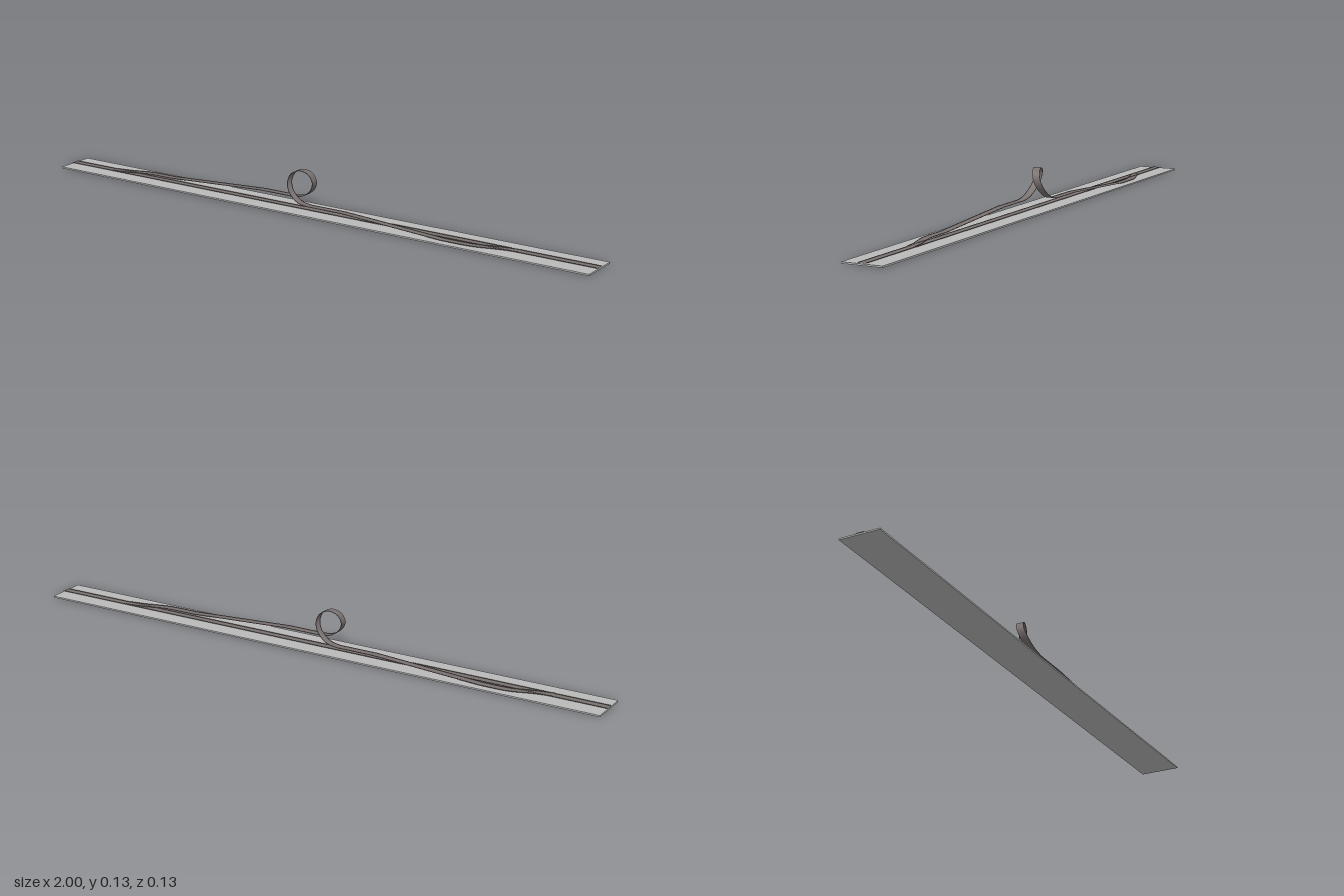
import * as THREE from 'three';

const WIDTH = 0.026, LIP = 0.0018;
const plateGrey = new THREE.MeshStandardMaterial({ color: 0xbababa });
const trackGrey = new THREE.MeshStandardMaterial({ color: 0x7a7271, side: THREE.DoubleSide });

// Shallow channel cross-section: [offset along z, height above the floor]
const PROFILE = [[WIDTH / 2, LIP], [WIDTH / 2, 0], [-WIDTH / 2, 0], [-WIDTH / 2, LIP]];

// Track strip with low side lips, swept along points that start heading toward +x
function track(name, points) {
  const pos = [], index = [];
  const rings = points.map((p, i) => {
    const a = points[Math.max(i - 1, 0)], b = points[Math.min(i + 1, points.length - 1)];
    const up = new THREE.Vector3(a.y - b.y, b.x - a.x, 0).normalize();
    return PROFILE.map(([w, h]) => [p.x + up.x * h, p.y + up.y * h, p.z + w]);
  });
  // Each side of the channel has its own vertices, so its corners stay sharp
  for (let k = 0; k < PROFILE.length - 1; k++) {
    rings.forEach((ring, i) => {
      if (i > 0) {
        const v = pos.length / 3 - 2;
        index.push(v, v + 2, v + 1, v + 1, v + 2, v + 3);
      }
      pos.push(...ring[k], ...ring[k + 1]);
    });
  }
  const geo = new THREE.BufferGeometry();
  geo.setAttribute('position', new THREE.Float32BufferAttribute(pos, 3));
  geo.setIndex(index);
  geo.computeVertexNormals();
  const mesh = new THREE.Mesh(geo, trackGrey);
  mesh.name = name;
  return mesh;
}

const smooth = (list, n) => new THREE.CatmullRomCurve3(
  list.map(p => new THREE.Vector3(...p))).getPoints(n);

export function createModel() {
  const group = new THREE.Group();

  // Ground plate
  const plate = new THREE.Mesh(new THREE.BoxGeometry(2, 0.005, 0.134), plateGrey);
  plate.name = 'groundPlate';
  plate.position.y = 0.0025;
  group.add(plate);

  // Straight lane along the middle of the plate
  group.add(track('mainLane', [-1, 1].map(x => new THREE.Vector3(x, 0.007, 0))));

  // Side lanes that leave the main lane, and the ramps up to the loop
  const z = 0.034, high = 0.029, low = 0.008;
  const lanes = [
    { side: 'right', s: -1, x: [-0.82, -0.66, -0.6, -0.23, -0.1] },
    { side: 'left', s: 1, x: [0.74, 0.56, 0.49, 0.13, 0] },
  ];
  for (const { side, s, x } of lanes) {
    const branch = smooth([
      [x[0], low, 0],
      [x[0] * 0.7 + x[1] * 0.3, low, s * z * 0.25],
      [x[0] * 0.25 + x[1] * 0.75, low, s * z * 0.88],
      [x[1], low, s * z],
    ], 24);
    const ramp = [[x[1], low], [x[2], low], [x[3], high], [x[4], high]]
      .map(([px, py]) => new THREE.Vector3(px, py, s * z));
    if (s > 0) { branch.reverse(); ramp.reverse(); }
    group.add(track(side + 'Branch', branch));
    group.add(track(side + 'Ramp', ramp));
  }

  // Corkscrew loop: half the path, then its half-turn copy about the loop axis
  const cx = -0.05;
  const half = [
    [-0.05, high, -z], [-0.02, 0.034, -0.0335], [0, 0.043, -0.031],
    [0.026, 0.066, -0.025], [0.037, 0.095, -0.016], [0.027, 0.121, -0.008],
  ];
  const loop = [
    ...half, [0, 0.132, 0],
    ...half.slice().reverse().map(([px, py, pz]) => [-px, py, -pz]),
  ].map(([px, py, pz]) => [px + cx, py, pz]);
  group.add(track('loop', smooth(loop, 96)));

  return group;
}
